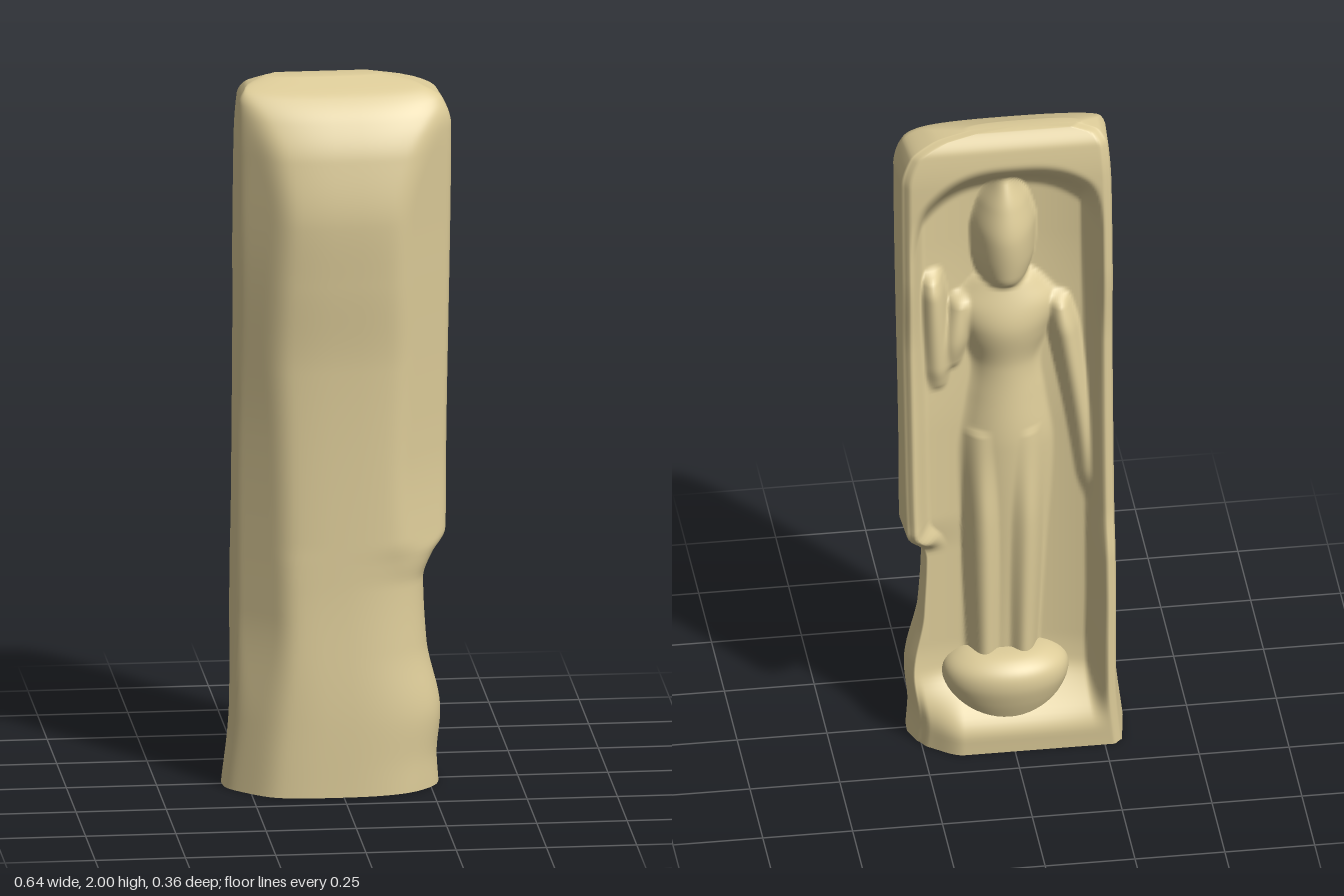
import * as THREE from 'three';

const stone = new THREE.MeshStandardMaterial({ color: 0xdccb98, side: THREE.DoubleSide });
const ss = THREE.MathUtils.smoothstep;

// Smooth monotone interpolation through [y, value] pairs
function along(table, y) {
  const n = table.length - 1;
  if (y <= table[0][0]) return table[0][1];
  if (y >= table[n][0]) return table[n][1];
  const slope = i => (table[i + 1][1] - table[i][1]) / (table[i + 1][0] - table[i][0]);
  const tangent = i => {
    if (i === 0) return slope(0);
    if (i === n) return slope(n - 1);
    const a = slope(i - 1), b = slope(i);
    return a * b <= 0 ? 0 : 2 * a * b / (a + b);
  };
  let i = 0;
  while (y > table[i + 1][0]) i++;
  const [y0, v0] = table[i], [y1, v1] = table[i + 1], h = y1 - y0, t = (y - y0) / h;
  const t2 = t * t, t3 = t2 * t;
  return (2 * t3 - 3 * t2 + 1) * v0 + (t3 - 2 * t2 + t) * h * tangent(i)
    + (3 * t2 - 2 * t3) * v1 + (t3 - t2) * h * tangent(i + 1);
}

// Outline of the slab, by height
const LEFT_X = [[0, 0.28], [0.08, 0.275], [0.2, 0.285], [0.4, 0.247], [0.58, 0.238], [0.65, 0.262], [0.71, 0.302], [1, 0.308], [1.86, 0.318], [1.94, 0.293], [1.98, 0.225], [2, 0.12]];
const RIGHT_X = [[0, -0.32], [0.2, -0.298], [0.4, -0.29], [0.9, -0.287], [1.8, -0.28], [1.94, -0.272], [1.98, -0.25], [2, -0.19]];
const FRONT_Z = [[0, 0.183], [0.2, 0.178], [0.6, 0.152], [1.2, 0.135], [1.45, 0.15], [1.62, 0.157], [1.8, 0.13], [1.9, 0.085], [1.96, 0.03], [2, -0.055]];
const BACK_Z = [[0, -0.165], [0.2, -0.175], [0.6, -0.165], [0.75, -0.143], [1, -0.134], [1.3, -0.13], [1.55, -0.148], [1.85, -0.145], [1.95, -0.135], [2, -0.105]];
const FLOOR_Z = [[0, -0.1], [0.15, -0.05], [0.3, -0.03], [1, -0.03], [1.6, 0], [2, 0]];
// Limits of |x| + z that plane off the two front corners
const LEFT_CHAMFER = [[0, 0.36], [0.15, 0.375], [0.3, 0.385], [0.55, 0.33], [0.95, 0.292], [1.5, 0.308], [1.9, 0.33]];
const RIGHT_CHAMFER = [[0, 0.37], [0.2, 0.345], [0.5, 0.3], [1, 0.285], [1.5, 0.3], [1.8, 0.29], [1.95, 0.28]];

// Figure in relief. Each form: centre x, half width and foremost z, by height
const mirrored = f => [f, { ...f, x: f.x.map(([y, v]) => [y, 0.035 - v]) }];
const FIGURE = [
  // robed body
  { x: [[0.24, 0.022], [0.8, 0.012], [1.5, 0.008]],
    w: [[0.24, 0.12], [0.6, 0.132], [0.93, 0.148], [1.1, 0.122], [1.2, 0.105], [1.3, 0.135], [1.39, 0.165], [1.45, 0.12], [1.5, 0.06]],
    z: [[0.24, -0.075], [0.95, -0.1], [1.2, -0.082], [1.33, -0.1], [1.5, -0.05]] },
  // legs under the cloth
  ...mirrored({ x: [[0.24, 0.07], [1.02, 0.078]],
    w: [[0.24, 0.05], [0.7, 0.062], [1.02, 0.06]],
    z: [[0.24, -0.1], [0.7, -0.112], [1.02, -0.08]] }),
  // head with topknot
  { x: [[1.44, 0.012], [1.85, 0.012]],
    w: [[1.44, 0.04], [1.48, 0.07], [1.56, 0.09], [1.64, 0.093], [1.72, 0.075], [1.78, 0.045], [1.85, 0.015]],
    z: [[1.44, -0.06], [1.5, -0.095], [1.62, -0.11], [1.72, -0.09], [1.85, -0.03]] },
  // hanging right arm and sleeve
  { x: [[0.72, -0.232], [1.0, -0.2], [1.42, -0.135]],
    w: [[0.72, 0.03], [0.85, 0.045], [1.3, 0.05], [1.42, 0.035]],
    z: [[0.72, -0.05], [0.85, -0.085], [1.3, -0.09], [1.42, -0.06]] },
  // left upper arm
  { x: [[1.18, 0.175], [1.44, 0.13]],
    w: [[1.18, 0.045], [1.3, 0.055], [1.44, 0.04]],
    z: [[1.18, -0.05], [1.3, -0.08], [1.44, -0.06]] },
  // raised left forearm with hand
  { x: [[1.12, 0.2], [1.3, 0.21], [1.53, 0.22]],
    w: [[1.12, 0.035], [1.22, 0.055], [1.42, 0.05], [1.53, 0.035]],
    z: [[1.12, -0.05], [1.22, -0.085], [1.45, -0.095], [1.53, -0.06]] },
];

function smoothMin(a, b, k) {
  const h = Math.max(k - Math.abs(a - b), 0) / k;
  return Math.min(a, b) - h * h * k / 4;
}

// Rear surface: raised rim round a hollow niche, its left wall broken away low down
function rearZ(x, y, xl, xr) {
  const rim = along(BACK_Z, y) + 0.075 * ss(x, 0.14, 0.28) * (1 - ss(y, 0.3, 0.6));
  const a = Math.abs(x) / 0.25;
  const crown = 1.91 - 0.1 * a ** 3;
  const rightWall = ss(x - xr, 0.022, 0.075);
  const standing = ss(y, 0.6, 0.72);
  const leftWall = 1 - standing * (1 - ss(xl - x, 0.02, 0.075));
  const hollow = rightWall * leftWall * (1 - ss(y, crown - 0.16, crown)) * ss(y, 0.05, 0.22);
  const floor = along(FLOOR_Z, y) - 0.045 * a * a * (x > 0 ? 0.6 + 0.4 * standing : 1);
  const edge = Math.min(x - xr, xl - x);
  let z = rim + (floor - rim) * hollow + 0.02 * (1 - ss(edge, 0, 0.025)) * (1 - hollow);
  for (const f of FIGURE) {
    const low = f.x[0][0], high = f.x[f.x.length - 1][0];
    const t = (x - along(f.x, y)) / along(f.w, y);
    if (y < low || y > high || Math.abs(t) >= 1) continue;
    const fade = Math.sqrt(Math.min(1, (high - y) / 0.03, (y - low) / 0.03));
    z = smoothMin(z, 0.02 + (along(f.z, y) - 0.02) * fade * (1 - t * t) ** 0.6, 0.025);
  }
  return z;
}

function slabGeometry() {
  const F = 48, B = 100, N = F + B + 2, ROWS = 190;
  const pos = [], idx = [];
  for (let i = 0; i <= ROWS; i++) {
    const y = 2 * (1 - (1 - i / ROWS) ** 1.25);
    const xl = along(LEFT_X, y), xr = along(RIGHT_X, y), zf = along(FRONT_Z, y);
    const mid = (xl + xr) / 2, half = (xl - xr) / 2, zs = Math.min(-0.02, zf - 0.03);
    const limitL = along(LEFT_CHAMFER, y), limitR = along(RIGHT_CHAMFER, y);
    // planed front, from left to right
    for (let j = 0; j <= F; j++) {
      const t = Math.PI * j / F, c = Math.cos(t), s = Math.max(0, Math.sin(t)), side = Math.sign(c);
      const x = mid + half * side * Math.abs(c) ** 0.75, z = zs + (zf - zs) * s ** 0.75;
      const reach = side * x + z;
      const cut = (reach - smoothMin(reach, c > 0 ? limitL : limitR, 0.03)) / 2;
      pos.push(x - side * cut, y, z - cut);
    }
    // rear, from right to left, drawn in a little at the foot
    const inset = 0.006 + 0.014 * (1 - ss(y, 0, 0.5));
    for (let j = 0; j <= B; j++) {
      const x = xr + inset + (xl - xr - 2 * inset) * j / B;
      pos.push(x, y, rearZ(x, y, xl - inset, xr + inset));
    }
  }
  for (let i = 0; i < ROWS; i++) for (let j = 0; j < N; j++) {
    const k = (j + 1) % N, a = i * N + j, b = i * N + k;
    idx.push(a, a + N, b, b, a + N, b + N);
  }
  // sharp-edged foot, smooth crown
  const foot = pos.length / 3;
  pos.push(...pos.slice(0, N * 3), -0.02, 0, 0, -0.03, 2, -0.08);
  for (let j = 0; j < N; j++) {
    const k = (j + 1) % N;
    idx.push(foot + N, foot + j, foot + k, foot + N + 1, ROWS * N + k, ROWS * N + j);
  }
  const g = new THREE.BufferGeometry();
  g.setAttribute('position', new THREE.Float32BufferAttribute(pos, 3));
  g.setIndex(idx);
  g.computeVertexNormals();
  return g;
}

// Low rounded pedestal with a sloping top
function pedestalGeometry() {
  const profile = new THREE.SplineCurve([[0.135, 0.1], [0.16, 0.15], [0.176, 0.2], [0.17, 0.24], [0.14, 0.268], [0.09, 0.285], [0.001, 0.29]]
    .map(p => new THREE.Vector2(...p)));
  return new THREE.LatheGeometry(profile.getPoints(40), 48);
}

export function createModel() {
  const model = new THREE.Group();
  model.name = 'nicheStele';
  const slab = new THREE.Mesh(slabGeometry(), stone);
  slab.name = 'slabWithFigureRelief';
  const pedestal = new THREE.Mesh(pedestalGeometry(), stone);
  pedestal.name = 'pedestal';
  pedestal.position.set(0.012, 0, -0.045);
  pedestal.scale.z = 0.74;
  model.add(slab, pedestal);
  return model;
}
